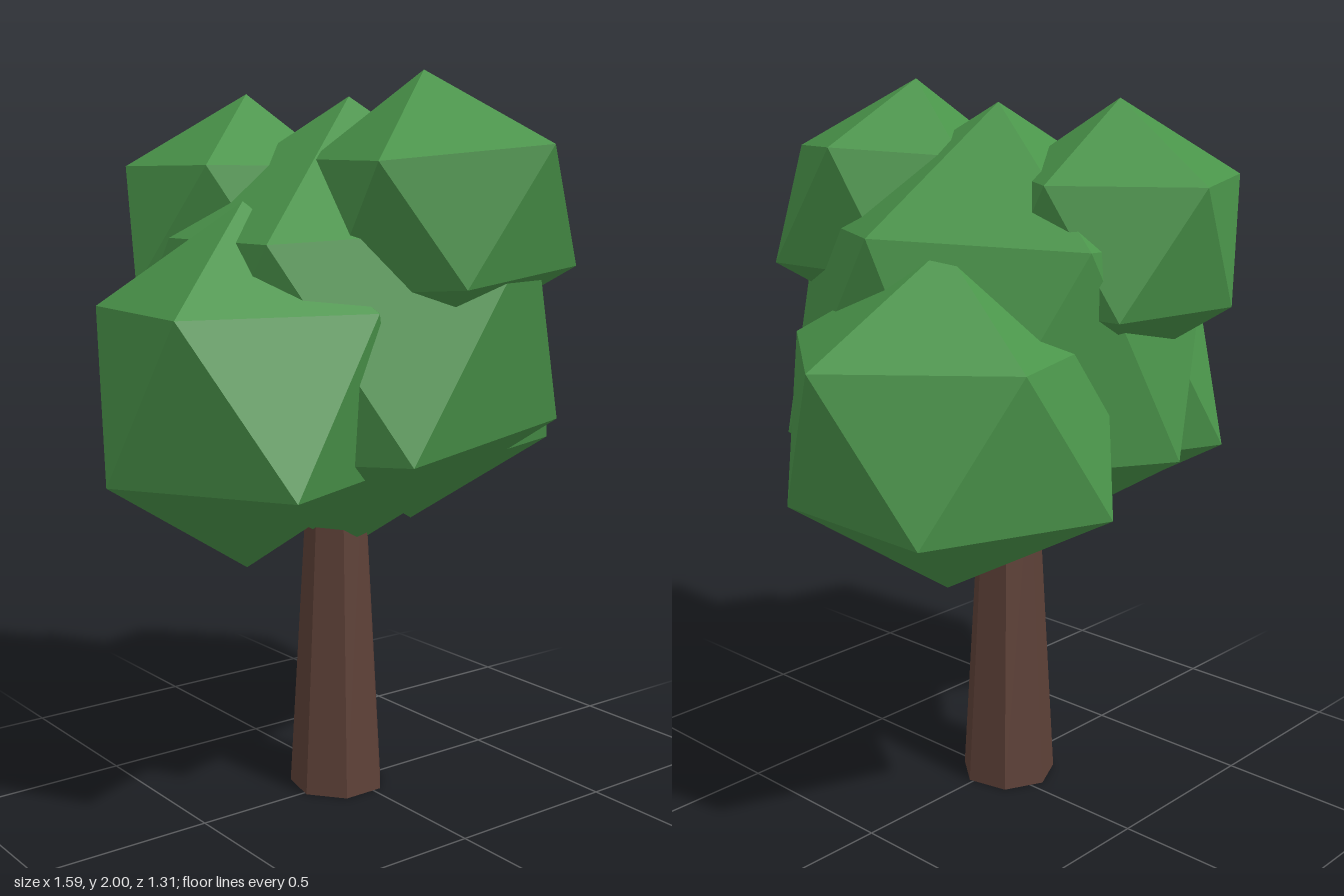
import * as THREE from 'three';

const bark = new THREE.MeshStandardMaterial({ color: 0x5d4037 });
bark.name = 'bark brown';
const leaf = new THREE.MeshStandardMaterial({ color: 0x4a944a });
leaf.name = 'leaf green';

// Foliage clump: an icosahedron standing on its tip, with uneven corners.
// half is the half height, upper and lower are the five reaches of each ring,
// turn spins it in degrees, and slope tips the rings along x.
function foliage({ half, upper, lower, turn = 0, slope = 0 }) {
  const ring = (reaches, level, start) => reaches.map((reach, k) => {
    const angle = THREE.MathUtils.degToRad(start + turn + 72 * k);
    const x = reach * Math.cos(angle);
    return [x, level + slope * x, reach * Math.sin(angle)];
  });
  const ringLevel = half / Math.sqrt(5);
  const u = ring(upper, ringLevel, 0);
  const l = ring(lower, -ringLevel, 36);
  const top = [0, half, 0];
  const bottom = [0, -half, 0];
  const faces = [];
  for (let k = 0; k < 5; k++) {
    const n = (k + 1) % 5;
    faces.push(top, u[n], u[k]);
    faces.push(u[k], u[n], l[k]);
    faces.push(l[k], u[n], l[n]);
    faces.push(l[k], l[n], bottom);
  }
  const geometry = new THREE.BufferGeometry();
  geometry.setAttribute('position', new THREE.Float32BufferAttribute(faces.flat(), 3));
  geometry.computeVertexNormals();
  return geometry;
}

export function createModel() {
  const tree = new THREE.Group();
  tree.name = 'tree';

  const add = (name, geometry, material, x, y, z) => {
    const mesh = new THREE.Mesh(geometry, material);
    mesh.name = name;
    mesh.position.set(x, y, z);
    tree.add(mesh);
  };

  // Tapered seven-sided trunk, running up into the foliage
  const height = 0.95;
  const trunk = new THREE.CylinderGeometry(0.082, 0.137, height, 7).rotateY(Math.PI).toNonIndexed();
  trunk.computeVertexNormals();
  add('trunk', trunk, bark, -0.035, height / 2, -0.018);

  // Large clump in the middle
  add('middleFoliage', foliage({
    half: 0.625, turn: 3, slope: 0.06,
    upper: [0.46, 0.59, 0.58, 0.58, 0.51],
    lower: [0.58, 0.57, 0.56, 0.54, 0.55],
  }), leaf, 0, 1.32, -0.01);

  // Side clumps
  add('rightFoliage', foliage({
    half: 0.48,
    upper: [0.42, 0.42, 0.45, 0.38, 0.42],
    lower: [0.4, 0.46, 0.41, 0.47, 0.42],
  }), leaf, -0.385, 1.19, 0.05);
  add('leftFoliage', foliage({
    half: 0.45,
    upper: [0.455, 0.44, 0.42, 0.42, 0.41],
    lower: [0.41, 0.42, 0.42, 0.46, 0.43],
  }), leaf, 0.335, 1.16, -0.14);

  // Crown clumps
  add('frontTopFoliage', foliage({
    half: 0.365, turn: 2, slope: 0.1,
    upper: [0.315, 0.385, 0.38, 0.29, 0.28],
    lower: [0.4, 0.32, 0.3, 0.33, 0.33],
  }), leaf, 0.02, 1.635, 0.28);
  add('backTopFoliage', foliage({
    half: 0.36, turn: -4,
    upper: [0.32, 0.3, 0.37, 0.34, 0.355],
    lower: [0.34, 0.31, 0.38, 0.31, 0.35],
  }), leaf, -0.13, 1.6, -0.315);

  return tree;
}
